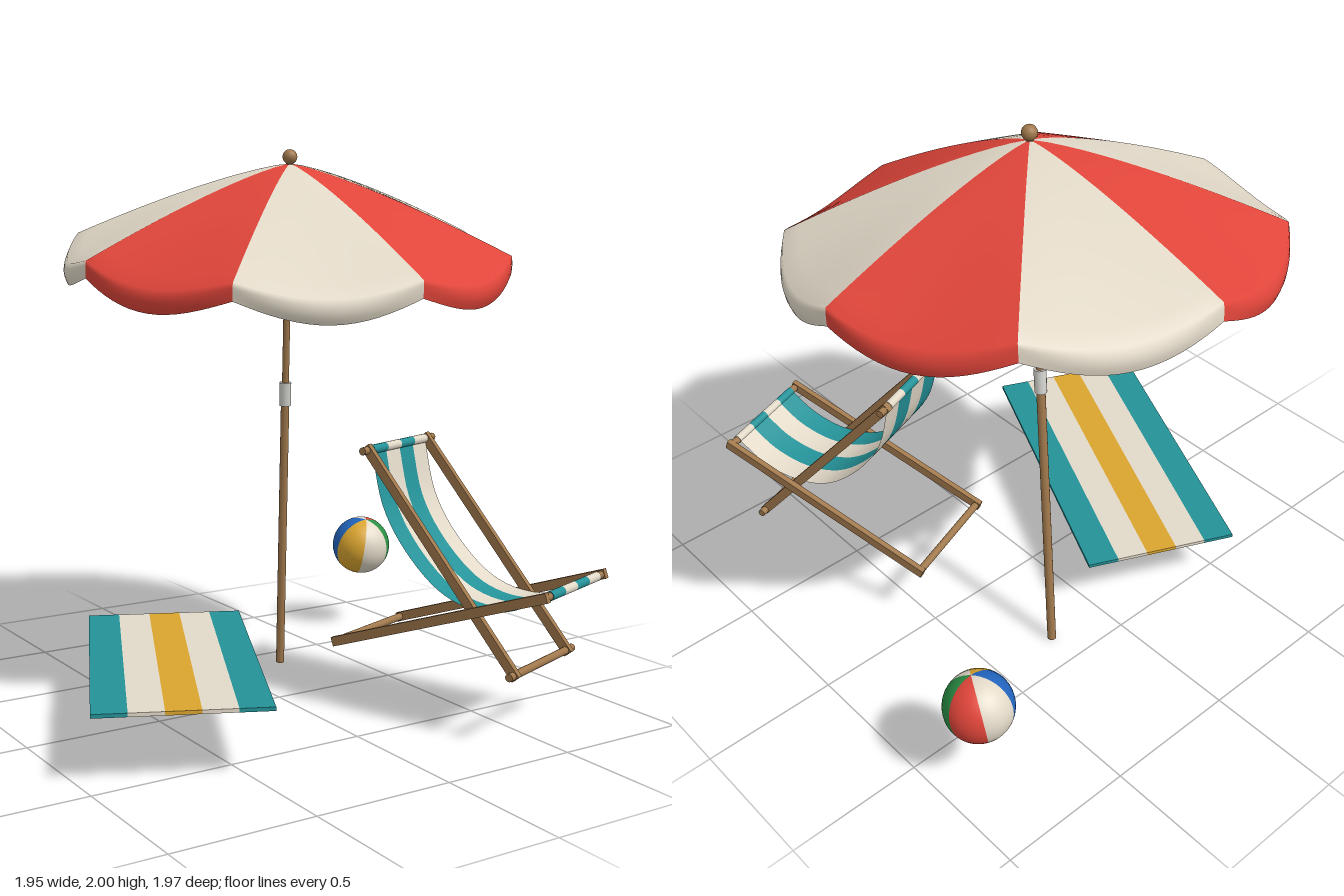
import * as THREE from 'three';

const mat = (name, color, side = THREE.FrontSide) => {
  const m = new THREE.MeshStandardMaterial({ color, side });
  m.name = name;
  return m;
};
const red = mat('red', 0xe0453a, THREE.DoubleSide);
const cream = mat('cream', 0xe2d9c8, THREE.DoubleSide);
const teal = mat('teal', 0x249298, THREE.DoubleSide);
const wood = mat('wood', 0xa0784c);
const yellow = mat('yellow', 0xdaa52f);
const green = mat('green', 0x2a8f45);
const blue = mat('blue', 0x2264bd);
const metal = mat('metal', 0xd2d2ce);

const UP = new THREE.Vector3(0, 1, 0);

function add(parent, name, geometry, material, x = 0, y = 0, z = 0) {
  const mesh = new THREE.Mesh(geometry, material);
  mesh.name = name;
  mesh.position.set(x, y, z);
  parent.add(mesh);
  return mesh;
}

// Round rod, or a rectangular bar when size is [width, depth], between two points
function bar(parent, name, a, b, size, material, overhang = 0) {
  const p = new THREE.Vector3(...a), q = new THREE.Vector3(...b);
  const dir = q.clone().sub(p), len = dir.length() + 2 * overhang;
  const geo = Array.isArray(size)
    ? new THREE.BoxGeometry(size[0], len, size[1])
    : new THREE.CylinderGeometry(size, size, len, 14);
  const mesh = add(parent, name, geo, material);
  mesh.position.copy(p.add(q).multiplyScalar(0.5));
  mesh.quaternion.setFromUnitVectors(UP, dir.normalize());
  return mesh;
}

// Smooth surface from a function point(u, v) on a regular grid
function sheet(point, nu, nv) {
  const pos = [], idx = [];
  for (let i = 0; i <= nu; i++)
    for (let j = 0; j <= nv; j++) pos.push(...point(i / nu, j / nv));
  for (let i = 0; i < nu; i++)
    for (let j = 0; j < nv; j++) {
      const a = i * (nv + 1) + j, b = a + nv + 1;
      idx.push(a, b, b + 1, a, b + 1, a + 1);
    }
  const g = new THREE.BufferGeometry();
  g.setAttribute('position', new THREE.Float32BufferAttribute(pos, 3));
  g.setIndex(idx);
  g.computeVertexNormals();
  return g;
}

function createUmbrella() {
  const g = new THREE.Group();
  g.name = 'umbrella';
  g.position.set(0.24, 0, -0.373);
  g.quaternion.setFromUnitVectors(UP, new THREE.Vector3(-0.118, 1.975, 0.253).normalize());

  const APEX = 1.97, R = 0.82, DROP = 0.295;
  const roofHeight = s => APEX - DROP * Math.pow(s, 1.28);

  // Pole in two sections with a joining sleeve and a finial
  bar(g, 'lowerPole', [0, 0, 0], [0, 1.1, 0], 0.016, wood);
  bar(g, 'upperPole', [0, 1.1, 0], [0, APEX, 0], 0.013, wood);
  bar(g, 'poleSleeve', [0, 1.06, 0], [0, 1.15, 0], 0.022, metal);
  add(g, 'finial', new THREE.SphereGeometry(0.027, 20, 14), wood, 0, 1.994, 0);
  bar(g, 'strutHub', [0, 1.68, 0], [0, 1.73, 0], 0.024, metal);

  // Canopy: eight sagging panels, each turning down into a short scalloped valance
  const roof = 0.78;
  for (let k = 0; k < 8; k++) {
    const panel = sheet((u, v) => {
      const a = (k + v) * Math.PI / 4;
      const bulge = Math.sin(Math.PI * v);
      const s = Math.min(u / roof, 1), w = Math.max((u - roof) / (1 - roof), 0);
      const r = R * s * (1 - 0.012 * bulge * s) + 0.012 * bulge * Math.sin(Math.PI * w);
      const y = roofHeight(s) - 0.05 * bulge * s * s - w * (0.06 + 0.022 * bulge);
      return [r * Math.sin(a), y, r * Math.cos(a)];
    }, 18, 16);
    add(g, 'canopyPanel', panel, k % 2 ? cream : red);

    // Rib under each seam and its strut to the hub
    const a = k * Math.PI / 4;
    const at = (r, y) => [r * Math.sin(a), y, r * Math.cos(a)];
    const ribPoints = [0.02, 0.25, 0.5, 0.75, 0.98].map(
      s => new THREE.Vector3(...at(R * s, roofHeight(s) - 0.009)));
    add(g, 'rib', new THREE.TubeGeometry(new THREE.CatmullRomCurve3(ribPoints), 12, 0.005, 6), metal);
    bar(g, 'strut', at(0.015, 1.705), at(R * 0.5, roofHeight(0.5) - 0.012), 0.005, metal);
  }
  return g;
}

function createChair() {
  const g = new THREE.Group();
  g.name = 'deckChair';
  g.position.set(0.372, 0, 0.22);
  g.rotation.y = Math.PI / 9;

  // [y, z] of the four cross rails
  const top = [0.945, 0], front = [0.525, 0.711];
  const footFront = [0.238, 0.596], footBack = [0.238, -0.117];
  const rail = (name, [y, z], half) => bar(g, name, [-half, y, z], [half, y, z], 0.014, wood);
  rail('topRail', top, 0.23);
  rail('frontFootRail', footFront, 0.228);
  rail('seatRail', front, 0.225);
  rail('backFootRail', footBack, 0.225);

  // Crossing side bars
  for (const s of [-1, 1]) {
    bar(g, 'backrestBar', [s * 0.19, ...top], [s * 0.19, ...footFront], [0.022, 0.034], wood, 0.015);
    bar(g, 'seatBar', [s * 0.214, ...front], [s * 0.214, ...footBack], [0.022, 0.034], wood, 0.015);
  }

  // Striped sling hanging between the top rail and the seat rail
  const curve = new THREE.CatmullRomCurve3([
    [0.955, 0.0], [0.74, 0.055], [0.58, 0.165], [0.465, 0.31],
    [0.432, 0.46], [0.462, 0.6], [0.535, 0.711],
  ].map(([y, z]) => new THREE.Vector3(0, y, z)));
  const width = 0.0875;
  for (let i = 0; i < 4; i++) {
    const stripe = sheet((u, v) => {
      const p = curve.getPoint(u);
      return [-0.175 + (i + v) * width, p.y, p.z];
    }, 32, 1);
    add(g, 'slingStripe', stripe, i % 2 ? cream : teal);
  }
  // Cloth wrapped round the two rails
  for (const [y, z] of [top, front])
    for (let i = 0; i < 4; i++) {
      const x = -0.175 + i * width;
      bar(g, 'slingHem', [x, y, z], [x + width, y, z], 0.0165, i % 2 ? cream : teal);
    }
  return g;
}

function createTowel() {
  const g = new THREE.Group();
  g.name = 'towel';
  g.position.set(-0.466, 0.232, 0.043);
  g.rotation.y = -25 * Math.PI / 180;
  [teal, cream, yellow, cream, teal].forEach((m, i) =>
    add(g, 'towelStripe', new THREE.BoxGeometry(0.116, 0.013, 1.168), m, (i - 2) * 0.116));
  return g;
}

function createBall() {
  const g = new THREE.Group();
  g.name = 'beachBall';
  g.position.set(0.85, 0.347, -0.678);
  g.rotation.x = 0.3;
  const step = Math.PI / 3;
  [cream, green, red, cream, blue, yellow].forEach((m, i) =>
    add(g, 'ballPanel', new THREE.SphereGeometry(0.122, 10, 28, (i + 1) * step, step), m));
  return g;
}

export function createModel() {
  const model = new THREE.Group();
  model.name = 'beachSet';
  model.add(createUmbrella(), createChair(), createTowel(), createBall());
  return model;
}
